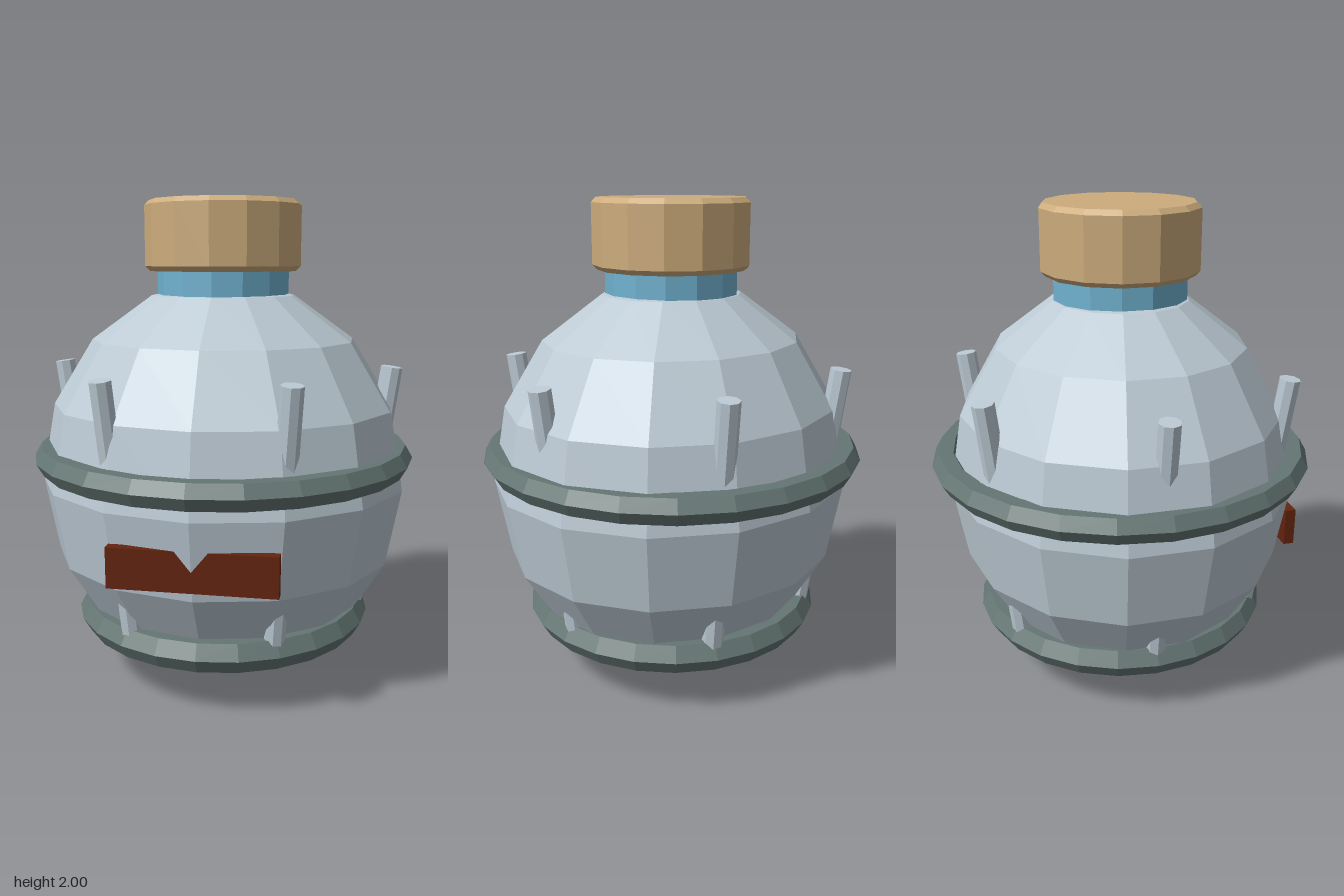
import * as THREE from 'three';

const flat = (name, color) => {
  const m = new THREE.MeshStandardMaterial({ color, flatShading: true });
  m.name = name;
  return m;
};

export function createModel() {
  const group = new THREE.Group();
  const glass = flat('paleGlass', 0xbccad4);
  const metal = flat('darkMetal', 0x647673);
  const blue = flat('blueNeck', 0x70b2d0);
  const cork = flat('cork', 0xcdac7c);
  const red = flat('darkRed', 0x64240f);

  const add = (name, geometry, material, y = 0) => {
    const mesh = new THREE.Mesh(geometry, material);
    mesh.name = name;
    mesh.position.y = y;
    group.add(mesh);
    return mesh;
  };

  // Faceted flask body, slightly wider than deep
  const body = new THREE.SphereGeometry(1, 14, 8);
  body.rotateY(Math.PI / 2);
  body.scale(0.782, 0.84, 0.733);
  add('body', body, glass, 0.84);

  // Neck and bevelled stopper
  add('neck', new THREE.CylinderGeometry(0.275, 0.275, 0.18, 14), blue, 1.66);
  const stopper = [[0, 1.715], [0.305, 1.715], [0.325, 1.735], [0.325, 1.98], [0.305, 2], [0, 2]]
    .map(([r, y]) => new THREE.Vector2(r, y));
  add('stopper', new THREE.LatheGeometry(stopper, 14), cork);

  // Hexagonal-section hoops
  const hoop = (name, radius, tube, y) => {
    const g = new THREE.TorusGeometry(radius, tube, 6, 24);
    g.rotateX(Math.PI / 2);
    add(name, g, metal, y);
  };
  hoop('upperHoop', 0.745, 0.06, 0.948);
  hoop('lowerHoop', 0.566, 0.069, 0.26);

  // Six rods leaning outward, running from the lower hoop up through the body
  for (let i = 0; i < 6; i++) {
    const a = (i * Math.PI) / 3;
    const at = (r, y) => new THREE.Vector3(Math.cos(a) * r, y, Math.sin(a) * r);
    const bottom = at(0.565, 0.26), top = at(0.706, 1.328);
    const rod = add('rod', new THREE.CylinderGeometry(0.044, 0.044, bottom.distanceTo(top), 8), glass);
    rod.position.copy(bottom).add(top).multiplyScalar(0.5);
    rod.quaternion.setFromUnitVectors(new THREE.Vector3(0, 1, 0), top.clone().sub(bottom).normalize());
  }

  // Front plate, with the body's front ridge breaking through it
  add('frontPlate', new THREE.BoxGeometry(0.65, 0.16, 0.045), red, 0.64).position.z = 0.676;

  return group;
}
